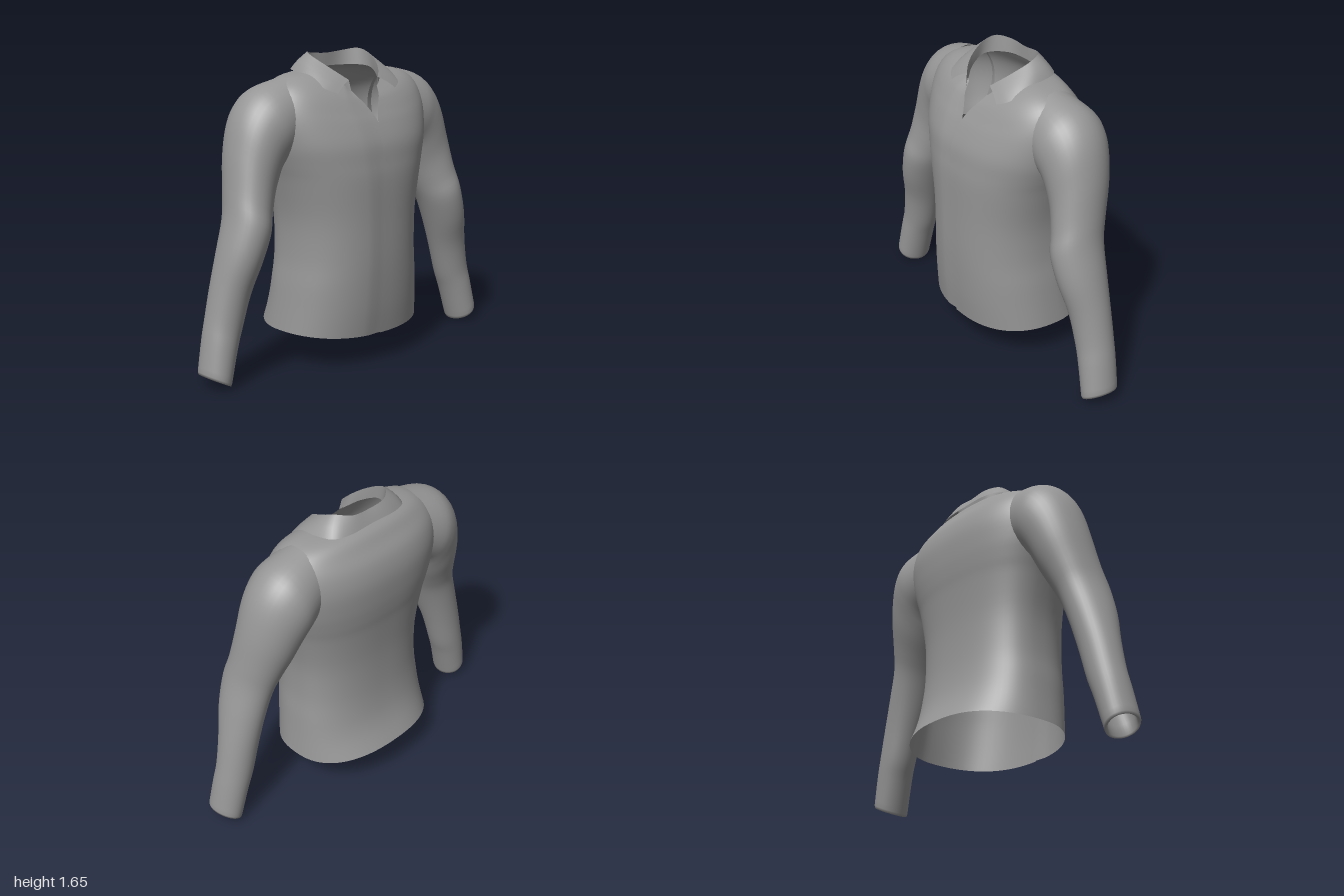
import * as THREE from 'three';

const cloth = new THREE.MeshStandardMaterial({ color: 0x969696, side: THREE.DoubleSide });
cloth.name = 'grey cloth';

// Surface through rows of points, each row an array of [x, y, z]
function loft(name, rows, closed = false, flip = false) {
  const n = rows[0].length, index = [];
  for (let r = 0; r < rows.length - 1; r++) {
    for (let c = 0; c < (closed ? n : n - 1); c++) {
      const a = r * n + c, b = r * n + (c + 1) % n, d = a + n, e = b + n;
      if (flip) index.push(a, e, b, a, d, e);
      else index.push(a, b, e, a, e, d);
    }
  }
  const g = new THREE.BufferGeometry();
  g.setAttribute('position', new THREE.Float32BufferAttribute(rows.flat(2), 3));
  g.setIndex(index);
  g.computeVertexNormals();
  const mesh = new THREE.Mesh(g, cloth);
  mesh.name = name;
  return mesh;
}

// Catmull-Rom interpolation of a list of equal-length number rows
function smooth(keys, steps) {
  const at = i => keys[Math.max(0, Math.min(keys.length - 1, i))];
  const out = [];
  for (let i = 0; i < keys.length - 1; i++) {
    for (let s = 0; s < steps; s++) {
      const t = s / steps;
      out.push(at(i).map((p1, k) => {
        const p0 = at(i - 1)[k], p2 = at(i + 1)[k], p3 = at(i + 2)[k];
        return p1 + 0.5 * t * (p2 - p0 + t * (2 * p0 - 5 * p1 + 4 * p2 - p3 + t * (3 * (p1 - p2) + p3 - p0)));
      }));
    }
  }
  out.push(keys[keys.length - 1]);
  return out;
}

const spow = (v, e) => Math.sign(v) * Math.abs(v) ** e;

// Body: rings open at the front, widening into a V at the neck
function makeBody() {
  // y front, y side, y back, half width, z front, z back, half opening
  const keys = [
    [0.165, 0.195, 0.235, 0.445, 0.33, -0.35, -0.015],
    [0.30, 0.32, 0.34, 0.432, 0.345, -0.30, -0.015],
    [0.45, 0.45, 0.45, 0.42, 0.355, -0.268, -0.015],
    [0.60, 0.60, 0.60, 0.405, 0.36, -0.25, -0.015],
    [0.80, 0.80, 0.80, 0.41, 0.36, -0.248, -0.015],
    [1.00, 1.00, 1.00, 0.45, 0.36, -0.265, -0.015],
    [1.10, 1.10, 1.10, 0.48, 0.352, -0.28, -0.015],
    [1.20, 1.20, 1.20, 0.51, 0.338, -0.29, -0.015],
    [1.30, 1.32, 1.32, 0.53, 0.30, -0.29, -0.005],
    [1.36, 1.42, 1.42, 0.52, 0.268, -0.265, 0.02],
    [1.40, 1.50, 1.49, 0.47, 0.245, -0.22, 0.045],
    [1.43, 1.548, 1.545, 0.37, 0.225, -0.18, 0.07],
    [1.46, 1.57, 1.575, 0.20, 0.195, -0.125, 0.095],
  ];
  const E = 0.85, N = 72;
  const rows = smooth(keys, 4).map(([yf, ys, yb, w, zf, zb, gap]) => {
    const start = Math.asin(spow(gap / w, 1 / E));
    const row = [];
    for (let c = 0; c <= N; c++) {
      const th = start + (2 * Math.PI - 2 * start) * c / N;
      const s = Math.sin(th), k = Math.cos(th);
      // the right front edge tucks under the left one
      const tuck = c >= N - 1 ? 0.008 : 0;
      row.push([w * spow(s, E), ys + ((k > 0 ? yf : yb) - ys) * k * k,
        (k > 0 ? zf : -zb) * spow(k, E) - tuck]);
    }
    return row;
  });
  return loft('body', rows);
}

// Sleeve: elliptical rings from inside the shoulder down to a folded cuff
function makeSleeve(side) {
  // outer x, y, inner x, y, z front, z back
  const keys = [
    [0.40, 1.545, 0.36, 1.15, 0.16, -0.19],
    [0.55, 1.505, 0.44, 1.10, 0.175, -0.22],
    [0.64, 1.44, 0.47, 1.06, 0.17, -0.215],
    [0.705, 1.335, 0.49, 1.01, 0.165, -0.195],
    [0.75, 1.18, 0.52, 0.94, 0.165, -0.165],
    [0.783, 1.00, 0.56, 0.85, 0.185, -0.12],
    [0.81, 0.87, 0.597, 0.76, 0.212, -0.09],
    [0.86, 0.70, 0.645, 0.63, 0.20, -0.075],
    [0.905, 0.52, 0.70, 0.47, 0.16, -0.065],
    [0.94, 0.36, 0.75, 0.30, 0.145, -0.06],
    [0.965, 0.25, 0.79, 0.19, 0.15, -0.055],
    [0.995, 0.095, 0.84, 0.02, 0.16, -0.045],
  ];
  const rings = smooth(keys, 4);
  rings.push(
    [0.992, 0.08, 0.845, 0.005, 0.155, -0.04],
    [0.98, 0.085, 0.857, 0.012, 0.143, -0.028],
    [0.97, 0.13, 0.845, 0.07, 0.14, -0.028],
    [0.945, 0.25, 0.81, 0.19, 0.13, -0.035]);
  const N = 36;
  const rows = rings.map(([ox, oy, ix, iy, zf, zb]) => Array.from({ length: N }, (_, c) => {
    const a = 2 * Math.PI * c / N, k = Math.cos(a) / 2;
    return [side * ((ox + ix) / 2 + k * (ox - ix)), (oy + iy) / 2 + k * (oy - iy),
      (zf + zb) / 2 + Math.sin(a) * (zf - zb) / 2];
  }));
  return loft(side > 0 ? 'leftSleeve' : 'rightSleeve', rows, true, side < 0);
}

// Collar: a stand inside the neck and a leaf folded down over the body
function makeCollar() {
  // from centre back to front: fold, leaf edge, stand foot
  const half = [
    [0, 1.64, -0.12, 0, 1.58, -0.16, 0, 1.57, -0.12],
    [0.11, 1.648, -0.117, 0.16, 1.575, -0.157, 0.11, 1.57, -0.11],
    [0.18, 1.66, -0.065, 0.255, 1.57, -0.115, 0.18, 1.57, -0.05],
    [0.2, 1.64, 0, 0.285, 1.56, 0, 0.2, 1.56, 0.02],
    [0.18, 1.60, 0.08, 0.288, 1.53, 0.1, 0.17, 1.525, 0.1],
    [0.145, 1.56, 0.14, 0.265, 1.49, 0.17, 0.13, 1.49, 0.15],
    [0.105, 1.525, 0.178, 0.205, 1.463, 0.208, 0.095, 1.46, 0.19],
  ];
  const mirrored = half.slice(1).map(p => p.map((v, i) => (i % 3 === 0 ? -v : v)));
  const columns = smooth([...half.slice().reverse(), ...mirrored], 5);
  const strip = (name, from, to, bulge) => loft(name, [0, 0.25, 0.5, 0.75, 1].map(t => columns.map(p => {
    const q = [0, 1, 2].map(i => p[from + i] * (1 - t) + p[to + i] * t);
    const b = bulge * Math.sin(Math.PI * t);
    return [q[0] * (1 + b), q[1] + b * 0.1, q[2]];
  })));
  const collar = new THREE.Group();
  collar.name = 'collar';
  collar.add(strip('collarLeaf', 3, 0, 0.03), strip('collarStand', 0, 6, 0));
  return collar;
}

export function createModel() {
  const shirt = new THREE.Group();
  shirt.name = 'shirt';
  shirt.add(makeBody(), makeSleeve(1), makeSleeve(-1), makeCollar());
  return shirt;
}
